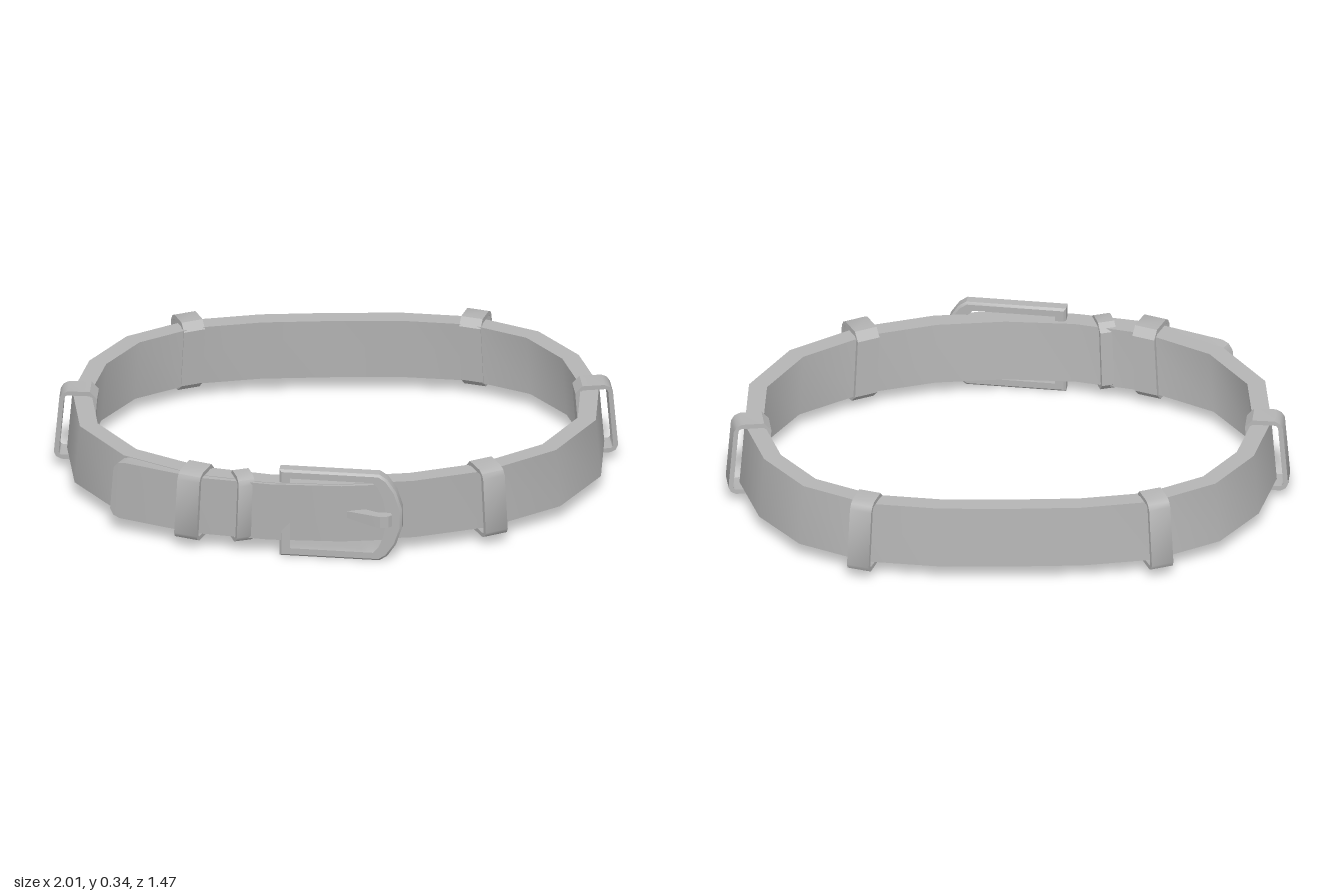
import * as THREE from 'three';
import { toCreasedNormals } from 'three/addons/utils/BufferGeometryUtils.js';

const grey = new THREE.MeshStandardMaterial({ color: 0xb4b4b4 });
grey.name = 'grey';

const BOTTOM = 0.06, TOP = 0.29;

// The belt hangs slightly wider and further back at its lower edge
function hang(geo) {
  const p = geo.attributes.position;
  for (let i = 0; i < p.count; i++) {
    const t = (TOP - p.getY(i)) / (TOP - BOTTOM);
    p.setX(i, p.getX(i) * (1 + 0.02 * t));
    p.setZ(i, p.getZ(i) - 0.014 * t);
  }
  return geo;
}

function addMesh(group, name, geo, crease = 0.6) {
  const mesh = new THREE.Mesh(toCreasedNormals(geo, crease), grey);
  mesh.name = name;
  group.add(mesh);
  return mesh;
}

// Strap with a rectangular section swept along [x, z, edgeInset] points
function strap(points, thickness, closed, bottom, top) {
  const n = points.length, pos = [], idx = [];
  const dir = (a, b) => new THREE.Vector2(b[0] - a[0], b[1] - a[1]).normalize();
  points.forEach((pt, i) => {
    const prev = points[closed ? (i + n - 1) % n : Math.max(i - 1, 0)];
    const next = points[closed ? (i + 1) % n : Math.min(i + 1, n - 1)];
    const d1 = prev === pt ? dir(pt, next) : dir(prev, pt);
    const d2 = next === pt ? d1 : dir(pt, next);
    const d = d1.clone().add(d2).normalize();
    const h = thickness / 2 / Math.max(0.5, d.dot(d2));
    const ox = d.y * h, oz = -d.x * h, e = pt[2] || 0;
    pos.push(
      pt[0] + ox, bottom + e, pt[1] + oz,
      pt[0] + ox, top - e, pt[1] + oz,
      pt[0] - ox, top - e, pt[1] - oz,
      pt[0] - ox, bottom + e, pt[1] - oz);
  });
  for (let i = 0; i < (closed ? n : n - 1); i++) {
    const a = i * 4, b = ((i + 1) % n) * 4;
    for (let k = 0; k < 4; k++) {
      const k2 = (k + 1) % 4;
      idx.push(a + k, a + k2, b + k2, a + k, b + k2, b + k);
    }
  }
  if (!closed) {
    const e = (n - 1) * 4;
    idx.push(0, 2, 1, 0, 3, 2, e, e + 1, e + 2, e, e + 2, e + 3);
  }
  const geo = new THREE.BufferGeometry();
  geo.setAttribute('position', new THREE.Float32BufferAttribute(pos, 3));
  geo.setIndex(idx);
  return geo;
}

// Rectangle with chamfered corners
function chamferRect(Type, w, h, c) {
  const x = w / 2, y = h / 2;
  return new Type([
    [x, -y + c], [x, y - c], [x - c * 0.35, y - c * 0.35], [x - c, y],
    [-x + c, y], [-x, y - c], [-x, -y + c], [-x + c, -y],
    [x - c, -y], [x - c * 0.35, -y + c * 0.35],
  ].map(p => new THREE.Vector2(...p)));
}

// Hollow keeper loop around the strap, facing along (nx, nz)
function keeper(x, z, nx, nz, width, deep, tall) {
  const shape = chamferRect(THREE.Shape, deep, tall, 0.028);
  shape.holes.push(chamferRect(THREE.Path, deep - 0.034, tall - 0.034, 0.01));
  return new THREE.ExtrudeGeometry(shape, { depth: width, bevelEnabled: false })
    .translate(0, 0, -width / 2)
    .rotateY(Math.atan2(-nz, nx))
    .translate(x, 0.174, z);
}

function createModel() {
  const belt = new THREE.Group();
  belt.name = 'belt';

  // Main strap: half outline from back to front, mirrored
  const half = [
    [0.25, -0.675], [0.495, -0.638], [0.71, -0.52], [0.84, -0.34], [0.903, -0.11],
    [0.885, 0.155], [0.745, 0.378], [0.505, 0.53], [0.25, 0.602],
  ];
  const mirrored = half.slice().reverse().map(([x, z]) => [-x, z]);
  const loop = [[0, -0.68], ...half, [0, 0.622], ...mirrored];
  addMesh(belt, 'mainStrap', hang(strap(loop, 0.065, true, BOTTOM, TOP)));

  // Overlapping strap end, with a rounded tip
  const tail = [
    [0.17, 0.628], [0, 0.638], [-0.25, 0.616], [-0.5, 0.558],
    [-0.755, 0.434], [-0.775, 0.422, 0.008], [-0.787, 0.414, 0.03],
  ];
  addMesh(belt, 'strapEnd', hang(strap(tail, 0.056, false, BOTTOM + 0.002, TOP - 0.002)));

  // Keeper loops, in mirrored pairs
  for (const s of [1, -1]) {
    const side = s > 0 ? 'left' : 'right';
    addMesh(belt, side + 'SideKeeper', hang(keeper(s * 0.912, -0.108, s, -0.1, 0.085, 0.135, 0.275)));
    addMesh(belt, side + 'BackKeeper', hang(keeper(s * 0.51, -0.652, s * 0.36, -1, 0.08, 0.125, 0.275)));
    addMesh(belt, side + 'FrontKeeper', hang(keeper(s * 0.515, 0.541, s * 0.45, 1, 0.085, 0.135, 0.275)));
  }
  addMesh(belt, 'smallKeeper', hang(keeper(-0.35, 0.582, 0.27, 1, 0.06, 0.11, 0.265)));

  // Buckle: D-shaped frame, slightly tilted away from the strap
  const buckle = new THREE.Group();
  buckle.name = 'buckle';
  buckle.position.set(0, 0, 0.643);
  buckle.rotation.y = -0.15;
  belt.add(buckle);
  const b = 0.008;
  const mirrorY = pts => [...pts, ...pts.slice().reverse().map(([x, y]) => [x, -y])]
    .map(([x, y]) => new THREE.Vector2(x, y + 0.17));
  const frame = new THREE.Shape(mirrorY(
    [[-0.212, 0.162], [0.135, 0.162], [0.16, 0.145], [0.19, 0.1], [0.211, 0.035]]));
  frame.holes.push(new THREE.Path(mirrorY(
    [[-0.182, 0.138], [0.115, 0.138], [0.135, 0.115], [0.152, 0.075], [0.16, 0.03]])));
  addMesh(buckle, 'buckleFrame', new THREE.ExtrudeGeometry(frame, {
    depth: 0.034, bevelEnabled: true, bevelSize: b, bevelThickness: b, bevelSegments: 1,
  }).translate(0, 0, -0.017), 0.5);

  // Prong: bent profile, extruded across its width and tapered to the root
  const profile = new THREE.Shape([
    [0.01, 0.6], [0.13, 0.69], [0.172, 0.69], [0.178, 0.712], [0.165, 0.724],
    [0.135, 0.727], [0.11, 0.715], [0.02, 0.66],
  ].map(p => new THREE.Vector2(...p)));
  const prong = new THREE.ExtrudeGeometry(profile, { depth: 0.044, bevelEnabled: false })
    .rotateX(Math.PI / 2).translate(0, 0.022, 0);
  const pp = prong.attributes.position;
  for (let i = 0; i < pp.count; i++) {
    const w = THREE.MathUtils.clamp(0.6 + (pp.getX(i) - 0.02) * 4, 0.55, 1);
    pp.setY(i, pp.getY(i) * w + 0.172);
  }
  addMesh(belt, 'prong', prong, 0.5);

  return belt;
}

export { createModel };
